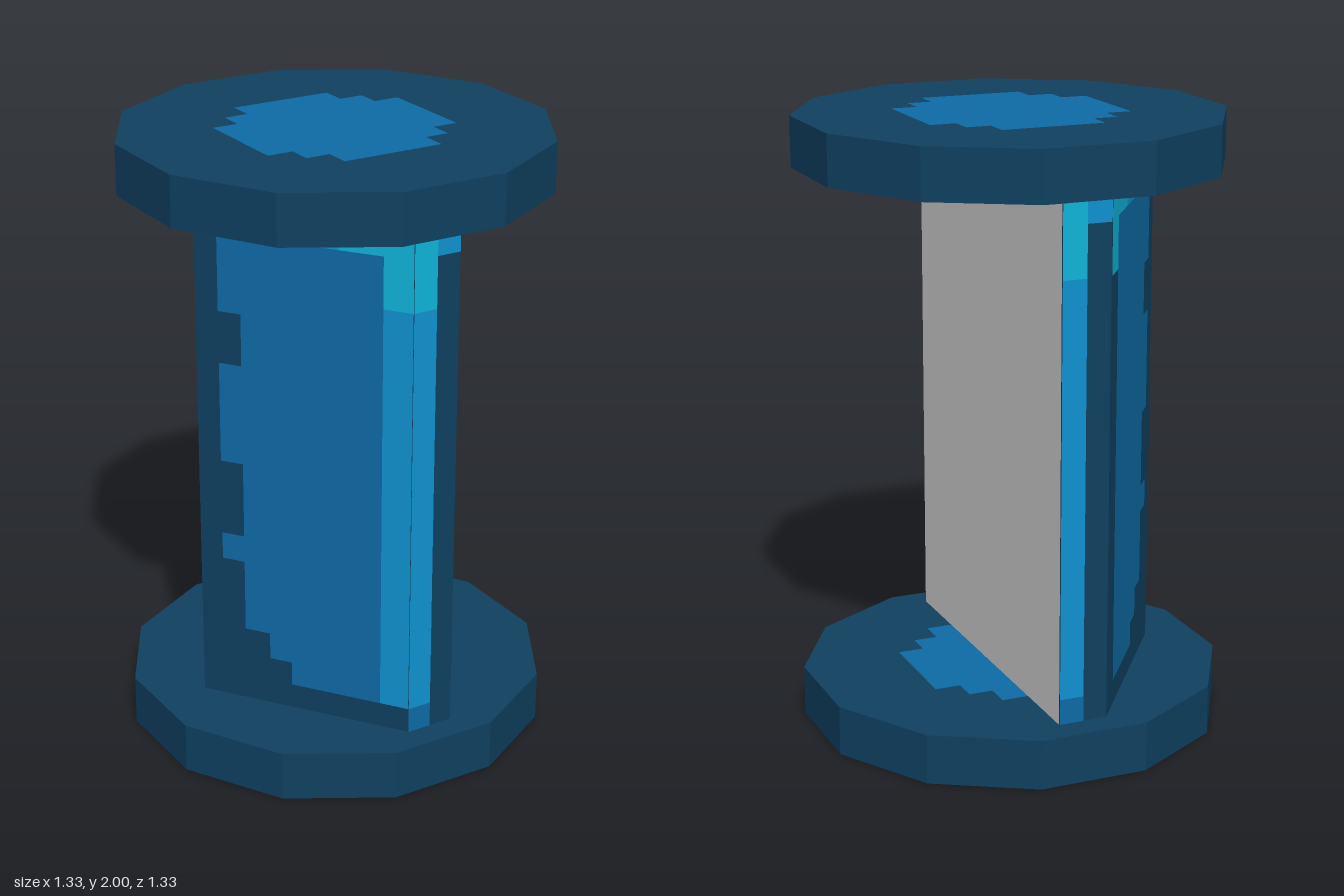
import * as THREE from 'three';

const mat = (name, color, extra = {}) => Object.assign(new THREE.MeshStandardMaterial({ color, ...extra }), { name });

const LOW = 1 / 6, HIGH = 2 - 1 / 6; // inner faces of the end caps
const HALF = 0.08, DEPTH = 0.58, TIP = -0.5;
const EPS = 0.002;

export function createModel() {
  const navy = mat('navy', 0x0f4060);
  const blue = mat('blue', 0x0e6ba7);
  const bright = mat('brightBlue', 0x0f92d0);
  const cyan = mat('cyan', 0x0fb4da);
  const gray = mat('paleGray', 0xd6d6d6);

  const model = new THREE.Group();
  model.name = 'spool';
  const add = (parent, name, geometry, material) => {
    const mesh = new THREE.Mesh(geometry, material);
    mesh.name = name;
    parent.add(mesh);
    return mesh;
  };

  // Stepped round patch painted on the cap faces
  const q = [[0.335, 0.17], [0.25, 0.17], [0.25, 0.25], [0.17, 0.25], [0.17, 0.335]];
  const r = [...q].reverse();
  const patchShape = new THREE.Shape([
    ...q,
    ...r.map(([x, y]) => [-x, y]),
    ...q.map(([x, y]) => [-x, -y]),
    ...r.map(([x, y]) => [x, -y]),
  ].map(([x, y]) => new THREE.Vector2(x, y)));

  // Twelve-sided end caps with a patch above and below
  for (const [name, y0, y1] of [['bottomCap', 0, LOW], ['topCap', HIGH, 2]]) {
    const cap = new THREE.Group();
    cap.name = name;
    model.add(cap);
    const disc = new THREE.CylinderGeometry(0.69, 0.69, y1 - y0 - 2 * EPS, 12).toNonIndexed();
    disc.rotateY(Math.PI / 12);
    disc.computeVertexNormals();
    add(cap, 'disc', disc, navy).position.y = (y0 + y1) / 2;
    for (const [y, side] of [[y1, -1], [y0, 1]]) {
      const patch = add(cap, 'patch', new THREE.ShapeGeometry(patchShape), blue);
      patch.rotation.x = side * Math.PI / 2;
      patch.position.y = y;
    }
  }

  // Five-sided column
  const profile = [[HALF, -DEPTH], [HALF, DEPTH], [-HALF, DEPTH], [TIP, 0], [-HALF, -DEPTH]];
  const column = new THREE.ExtrudeGeometry(
    new THREE.Shape(profile.map(([x, z]) => new THREE.Vector2(x, -z))),
    { depth: HIGH - LOW, bevelEnabled: false });
  column.rotateX(-Math.PI / 2);
  column.translate(0, LOW, 0);
  add(model, 'column', column, navy);

  // Flat pale side
  const flat = add(model, 'flatSide', new THREE.PlaneGeometry(2 * DEPTH, HIGH - LOW), gray);
  flat.rotation.y = Math.PI / 2;
  flat.position.set(HALF + EPS, 1, 0);

  // Wall from a to b (seen left to right from outside) with painted [material, u0, u1, y0, y1] plates
  const wall = (name, a, b, plates) => {
    const group = new THREE.Group();
    group.name = name;
    group.position.set(a[0], 0, a[1]);
    group.rotation.y = Math.atan2(a[1] - b[1], b[0] - a[0]);
    model.add(group);
    for (const [material, u0, u1, y0, y1] of plates) {
      add(group, 'paint', new THREE.PlaneGeometry(u1 - u0, y1 - y0), material)
        .position.set((u0 + u1) / 2, (y0 + y1) / 2, EPS);
    }
  };

  // Narrow end walls, the same when turned half round
  const stripPlates = [
    [blue, 0, HALF, LOW, 0.25],
    [bright, 0, HALF, 0.25, 1.585],
    [cyan, 0, HALF, 1.585, HIGH],
    [bright, HALF, 2 * HALF, 1.75, HIGH],
  ];
  wall('frontEnd', [-HALF, DEPTH], [HALF, DEPTH], stripPlates);
  wall('backEnd', [HALF, -DEPTH], [-HALF, -DEPTH], stripPlates);

  // Slanted walls with a ragged edge near the ridge
  const len = Math.hypot(TIP + HALF, DEPTH), inner = 0.62;
  const steps = [
    [0.315, 0.25, 0.33], [0.239, 0.33, 0.42], [0.153, 0.42, 0.66], [0.077, 0.66, 0.75],
    [0.153, 0.75, 1.0], [0.077, 1.0, 1.33], [0.153, 1.33, 1.5], [0.077, 1.5, 1.75],
  ];
  const slantPlates = [
    ...steps.map(([u, y0, y1]) => [blue, u, inner, y0, y1]),
    [bright, 0, 0.477, 1.75, HIGH],
    [cyan, 0.477, len, 1.75, HIGH],
    [cyan, inner, len, 1.585, 1.75],
  ];
  wall('frontSlant', [TIP, 0], [-HALF, DEPTH], [...slantPlates, [bright, inner, len, 0.25, 1.585]]);
  wall('backSlant', [-HALF, -DEPTH], [TIP, 0],
    slantPlates.map(([m, u0, u1, y0, y1]) => [m, len - u1, len - u0, y0, y1]));

  return model;
}
